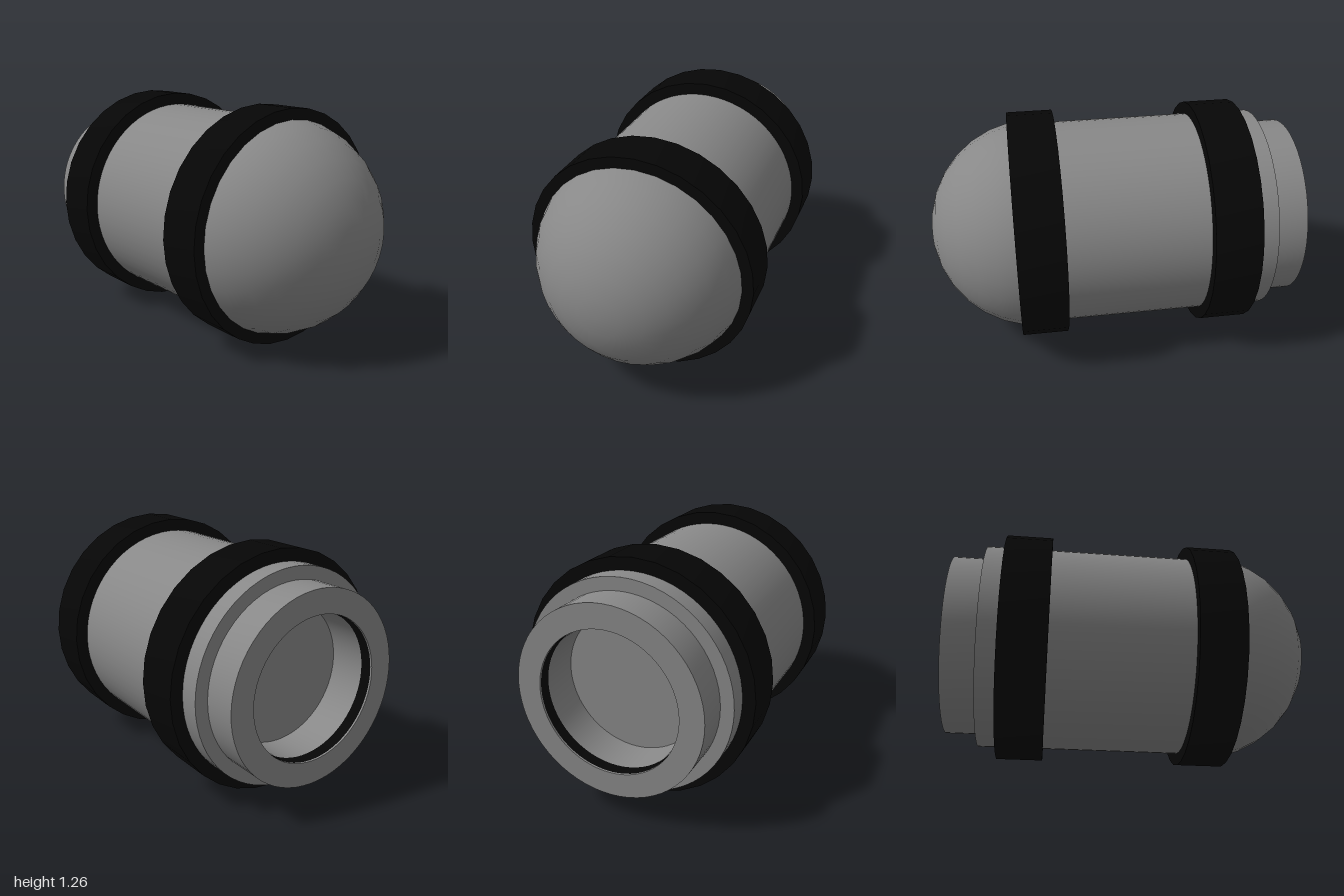
import * as THREE from 'three';
import { toCreasedNormals } from 'three/addons/utils/BufferGeometryUtils.js';

const AXIS_Y = 0.63; // height of the capsule's long axis
const MOUTH_R = 0.37; // radius of the rear opening
const grey = new THREE.MeshStandardMaterial({ color: 0x888888 });
const black = new THREE.MeshStandardMaterial({ color: 0x060606 });

// Turns [radius, z] pairs around the z axis, keeping profile corners sharp.
function turned(name, profile, material, sides) {
  const points = profile.map(([r, z]) => new THREE.Vector2(r, z));
  const geometry = new THREE.LatheGeometry(points, sides).rotateX(Math.PI / 2);
  const mesh = new THREE.Mesh(toCreasedNormals(geometry, 0.6), material);
  mesh.name = name;
  return mesh;
}

// Closed hollow ring between two radii and two z positions.
function ring(name, inner, outer, back, front, material, sides) {
  return turned(name, [[inner, back], [outer, back], [outer, front], [inner, front], [inner, back]], material, sides);
}

export function createModel() {
  const model = new THREE.Group();
  model.name = 'capsule';
  const axis = new THREE.Group();
  axis.name = 'capsuleParts';
  axis.position.y = AXIS_Y;
  model.add(axis);

  // Rounded nose, starting under the middle of the front band
  const nose = new THREE.Mesh(
    new THREE.SphereGeometry(0.585, 32, 8, 0, Math.PI * 2, 0, Math.PI / 2).rotateX(Math.PI / 2), grey);
  nose.name = 'domeNose';
  nose.position.z = 0.415;
  axis.add(nose);

  // Barrel stepping down to the rear collar, with a flat-floored opening
  axis.add(turned('barrelAndCollar', [
    [0, -0.73], [MOUTH_R, -0.73], [MOUTH_R, -0.93], // floor and inner wall
    [MOUTH_R + 0.03, -0.93], [MOUTH_R + 0.03, -0.99], // seat of the lining
    [MOUTH_R, -0.99], [MOUTH_R, -1], [0.495, -1], // lip and rim
    [0.495, -0.82], [0.563, -0.82], [0.563, 0.42], // collar, step and barrel
  ], grey, 64));

  // Dark lining set flush inside the opening
  axis.add(ring('mouthLining', MOUTH_R, MOUTH_R + 0.03, -0.99, -0.93, black, 64));

  // Two raised bands
  axis.add(ring('frontBand', 0.55, 0.63, 0.29, 0.54, black, 32));
  axis.add(ring('rearBand', 0.55, 0.63, -0.715, -0.465, black, 32));

  return model;
}
